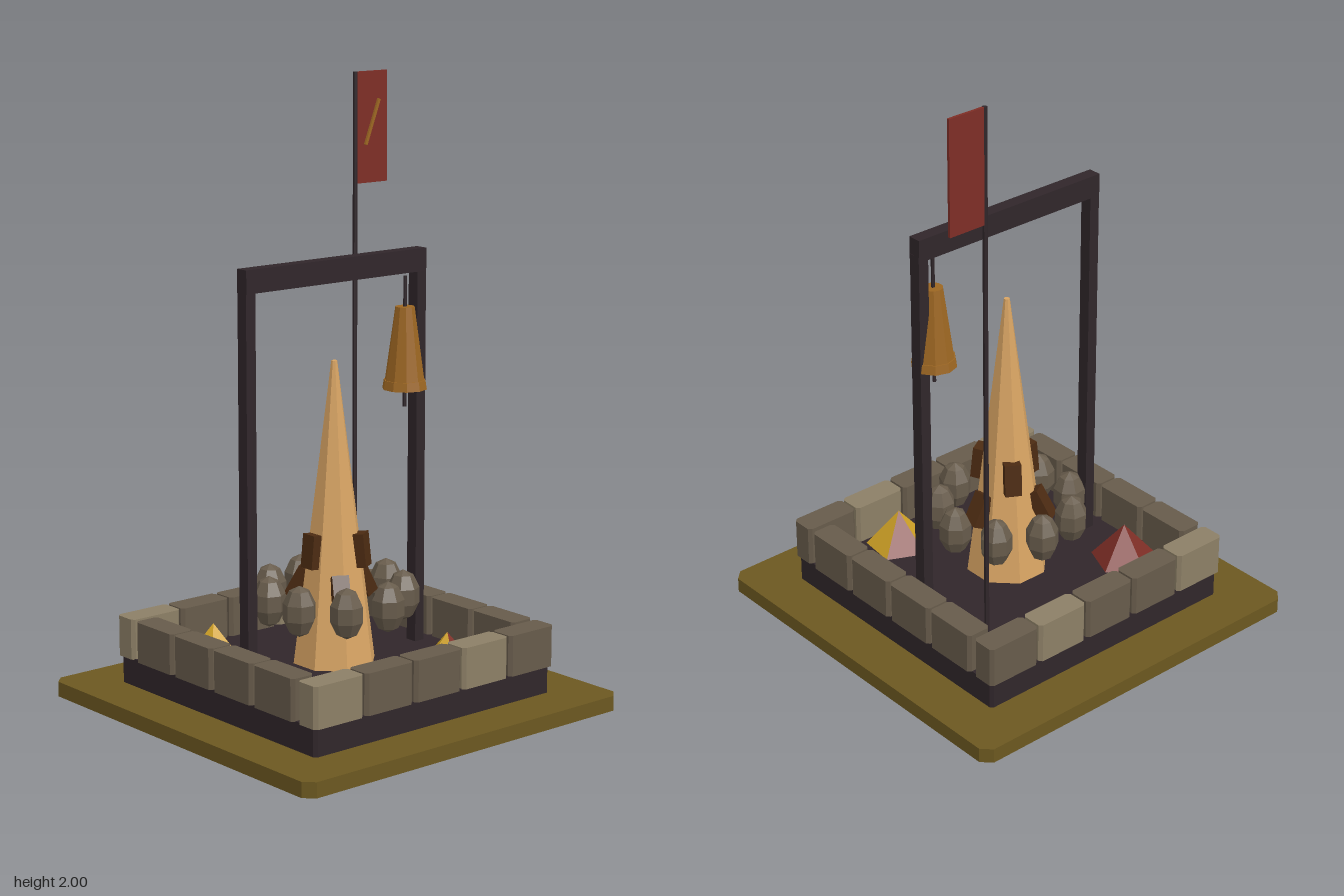
import * as THREE from 'three';

const mat = (name, color, opts = {}) => {
  const m = new THREE.MeshStandardMaterial({ color, flatShading: true, ...opts });
  m.name = name;
  return m;
};

export function createModel() {
  const root = new THREE.Group();
  const M = {
    earth: mat('olive earth', 0x6c5820),
    dark: mat('dark timber', 0x30262a),
    stone: mat('grey stone', 0x675b4b),
    pale: mat('pale stone', 0x8c7f66),
    spire: mat('tan spire', 0xd8a463),
    brown: mat('dark brown', 0x4c2b12),
    bronze: mat('bronze', 0x9c6622),
    red: mat('red', 0x7e2e26, { side: THREE.DoubleSide }),
    gold: mat('gold', 0xd0a226, { side: THREE.DoubleSide }),
  };
  const add = (name, geo, material, x = 0, y = 0, z = 0, parent = root) => {
    const mesh = new THREE.Mesh(geo, material);
    mesh.name = name;
    mesh.position.set(x, y, z);
    parent.add(mesh);
    return mesh;
  };
  const box = (name, w, h, d, material, x, y, z, parent) =>
    add(name, new THREE.BoxGeometry(w, h, d), material, x, y, z, parent);

  // Slab whose vertical corners are cut off; y is its underside
  const cutSlab = (name, w, h, d, cut, material, x, y, z, parent) => {
    const a = w / 2, b = d / 2, c = cut;
    const shape = new THREE.Shape([
      [-a + c, -b], [a - c, -b], [a, -b + c], [a, b - c],
      [a - c, b], [-a + c, b], [-a, b - c], [-a, -b + c],
    ].map(([u, v]) => new THREE.Vector2(u, v)));
    const geo = new THREE.ExtrudeGeometry(shape, { depth: h, bevelEnabled: false });
    geo.rotateX(-Math.PI / 2);
    return add(name, geo, material, x, y, z, parent);
  };

  // Ground and platform
  cutSlab('groundPlate', 1.31, 0.05, 1.31, 0.032, M.earth, 0, 0, 0);
  cutSlab('platform', 0.985, 0.092, 0.985, 0.01, M.dark, 0, 0.05, 0);

  // Low wall of separate blocks
  const wall = new THREE.Group();
  wall.name = 'stoneWall';
  root.add(wall);
  for (const s of [-1, 1]) {
    for (let i = 0; i < 5; i++) {
      cutSlab('wallBlock', 0.194, 0.135, 0.086, 0.011, i % 3 === 0 ? M.pale : M.stone,
        (i - 2) * 0.2015, 0.14, s * 0.46, wall);
    }
    for (let i = 0; i < 4; i++) {
      cutSlab('wallBlock', 0.086, 0.135, 0.194, 0.011, M.stone,
        s * 0.46, 0.14, (i - 1.5) * 0.2015, wall);
    }
  }

  // Tall faceted spire
  const spire = new THREE.CylinderGeometry(0.01, 0.138, 0.99, 8);
  spire.rotateY(Math.PI / 8);
  add('spire', spire, M.spire, 0, 0.635, 0);

  // Blocks on the spire: upright upper ones alternate with splayed lower ones
  for (let i = 0; i < 6; i++) {
    const lower = i % 2 === 0;
    const arm = new THREE.Group();
    arm.name = lower ? 'lowerSpireBlock' : 'upperSpireBlock';
    arm.rotation.y = (i * Math.PI) / 3;
    root.add(arm);
    const b = box('spireBlock', 0.045, 0.11, 0.055, M.brown, lower ? 0.118 : 0.09, lower ? 0.395 : 0.52, 0, arm);
    b.rotation.z = lower ? 0.5 : 0.1;
  }

  // Ring of egg-shaped rocks
  for (let i = 0; i < 9; i++) {
    const a = (i * Math.PI * 2) / 9;
    const rock = new THREE.SphereGeometry(0.056, 7, 5);
    rock.scale(1, 1.5, 1);
    rock.rotateY(a);
    add('ringRock', rock, M.stone, Math.cos(a) * 0.222, 0.36, Math.sin(a) * 0.222);
  }

  // Gate frame
  for (const s of [-1, 1]) box('gatePost', 0.037, 1.26, 0.042, M.dark, s * 0.353, 0.77, 0);
  box('gateBeam', 0.742, 0.075, 0.045, M.dark, 0, 1.42, 0);

  // Hanging bell with rod and rim
  const bell = new THREE.Group();
  bell.name = 'bell';
  bell.position.x = 0.3;
  root.add(bell);
  add('bellBody', new THREE.CylinderGeometry(0.032, 0.066, 0.245, 10), M.bronze, 0, 1.148, 0, bell);
  add('bellRim', new THREE.CylinderGeometry(0.069, 0.074, 0.03, 10), M.bronze, 0, 1.015, 0, bell);
  add('bellRod', new THREE.CylinderGeometry(0.006, 0.006, 0.43, 6), M.dark, 0, 1.155, 0, bell);

  // Banner with a slanted stripe on its front
  add('flagPole', new THREE.CylinderGeometry(0.008, 0.008, 1.86, 6), M.dark, 0.378, 1.07, -0.338);
  box('flag', 0.134, 0.37, 0.009, M.red, 0.447, 1.815, -0.338);
  const stripe = box('flagStripe', 0.01, 0.16, 0.008, M.bronze, 0.446, 1.832, -0.33);
  stripe.rotation.z = -0.37;

  // Two-coloured five-sided heaps (0 = red, 1 = gold)
  const heap = (x, z, startDeg, pattern) => {
    const geo = new THREE.ConeGeometry(0.112, 0.13, 5, 1, true, THREE.MathUtils.degToRad(startDeg));
    geo.clearGroups();
    pattern.forEach((m, i) => geo.addGroup(i * 3, 3, m));
    add('colouredHeap', geo, [M.red, M.gold], x, 0.206, z);
  };
  heap(-0.312, -0.235, 32, [0, 0, 0, 1, 1]);
  heap(0.197, 0.325, 47, [1, 0, 1, 1, 0]);

  return root;
}
